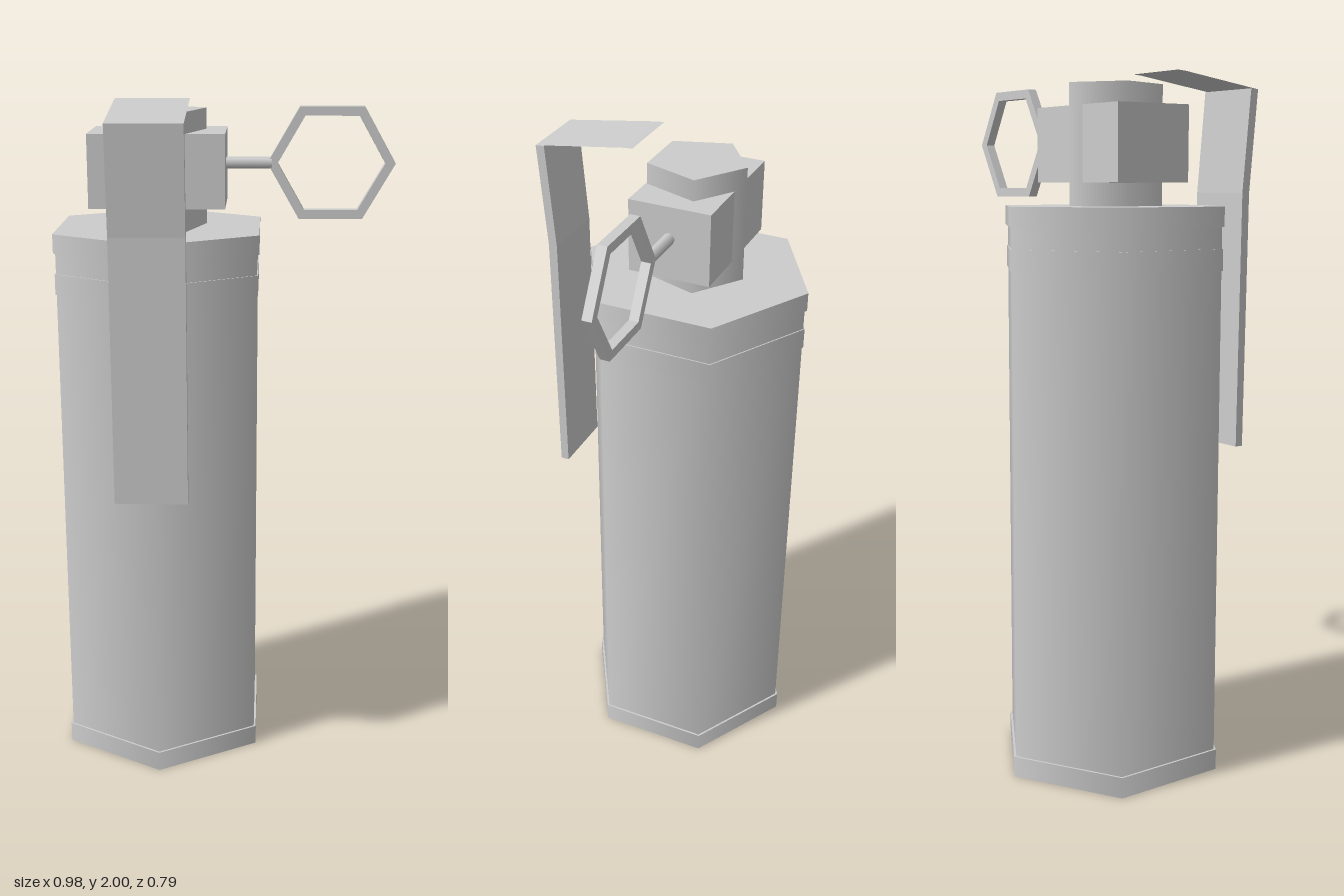
import * as THREE from 'three';

export function createModel() {
  const group = new THREE.Group();
  const grey = new THREE.MeshStandardMaterial({ color: 0xcccccc });
  grey.name = 'light grey';
  grey.side = THREE.DoubleSide;

  const CX = -0.195, CZ = -0.057;

  function add(name, geometry, x = 0, y = 0, z = 0) {
    const mesh = new THREE.Mesh(geometry, grey);
    mesh.name = name;
    mesh.position.set(x, y, z);
    group.add(mesh);
    return mesh;
  }

  // Upright smooth-shaded prism on the body axis, from y0 to y1
  function prism(name, radius, y0, y1, sides = 6, turn = 0) {
    const geometry = new THREE.CylinderGeometry(radius, radius, y1 - y0, sides);
    add(name, geometry, CX, (y0 + y1) / 2, CZ).rotation.y = turn;
  }

  // Six-sided canister with rims and a raised band
  prism('body', 0.332, 0.01, 1.62);
  prism('bottomRim', 0.339, 0, 0.06);
  prism('topRim', 0.339, 1.57, 1.625);
  prism('band', 0.336, 1.45, 1.51);

  // Five-sided fuse neck through a square housing
  prism('fuseNeck', 0.143, 1.62, 1.96, 5, Math.PI);
  add('fuseHousing', new THREE.BoxGeometry(0.39, 0.21, 0.24), CX, 1.795, CZ);

  // Pin sticking out of the housing
  const pin = new THREE.CylinderGeometry(0.017, 0.017, 0.135, 8);
  pin.rotateZ(Math.PI / 2);
  add('pin', pin, 0.065, 1.808, CZ);

  // Hexagonal pull ring
  const hexagon = (r) => Array.from({ length: 6 }, (_, i) =>
    new THREE.Vector2(r * Math.cos(i * Math.PI / 3), r * Math.sin(i * Math.PI / 3)));
  const ringShape = new THREE.Shape(hexagon(0.185));
  ringShape.holes.push(new THREE.Path(hexagon(0.155)));
  const ring = new THREE.ExtrudeGeometry(ringShape, { depth: 0.028, bevelEnabled: false });
  ring.translate(0, 0, -0.014);
  add('pullRing', ring, 0.304, 1.808, CZ - 0.002);

  // Safety lever: side profile (z, y) extruded across x
  const leverShape = new THREE.Shape([
    [0.393, 1.958], [0.366, 1.66], [0.357, 0.905],
    [0.332, 0.905], [0.34, 1.66], [0.367, 1.96],
  ].map(([z, y]) => new THREE.Vector2(-z, y)));
  const lever = new THREE.ExtrudeGeometry(leverShape, { depth: 0.207, bevelEnabled: false });
  lever.rotateY(Math.PI / 2);
  add('lever', lever, -0.302);

  // Thin flap folded over from the top of the lever
  const flapProfile = [[0.393, 1.958], [0.12, 1.998], [0.095, 2.0]];
  const flap = new THREE.PlaneGeometry(0.207, 1, 1, 2);
  const p = flap.attributes.position;
  for (let i = 0; i < p.count; i++) {
    const [z, y] = flapProfile[2 - Math.floor(i / 2)];
    p.setXYZ(i, p.getX(i) - 0.1985, y, z);
  }
  flap.computeVertexNormals();
  add('leverFlap', flap);

  return group;
}
